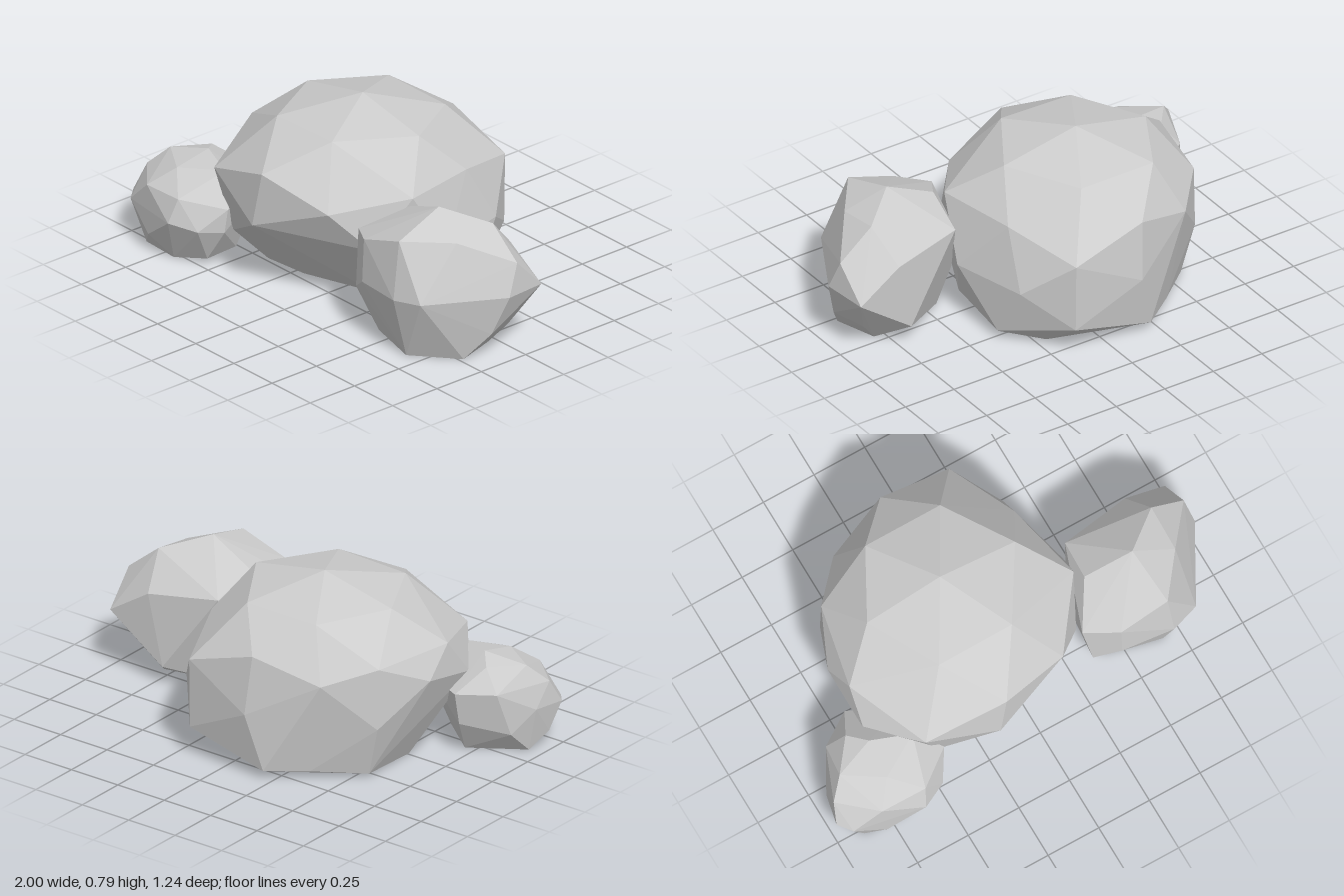
import * as THREE from 'three';
import { ConvexGeometry } from 'three/addons/geometries/ConvexGeometry.js';

const stone = new THREE.MeshStandardMaterial({ color: 0xcccccc, flatShading: true });
stone.name = 'pale stone grey';

// A faceted boulder: the hull around a few corner points, given in layers from crown to foot
function boulder(name, ...layers) {
  const corners = layers.flat().map((p) => new THREE.Vector3(...p));
  const mesh = new THREE.Mesh(new ConvexGeometry(corners), stone);
  mesh.name = name;
  return mesh;
}

export function createModel() {
  const group = new THREE.Group();
  group.name = 'rockCluster';

  group.add(boulder('largeRock',
    // crown
    [[-0.16, 0.79, -0.08], [0.21, 0.72, -0.08], [-0.52, 0.71, -0.08],
      [-0.35, 0.71, 0.24], [0.01, 0.72, 0.24], [-0.35, 0.70, -0.39], [0.02, 0.70, -0.39]],
    // shoulders
    [[-0.16, 0.58, 0.49], [-0.53, 0.46, 0.44], [0.17, 0.48, 0.40], [0.39, 0.55, 0.11],
      [0.31, 0.54, -0.26], [0.18, 0.46, -0.59], [-0.16, 0.57, -0.59],
      [-0.45, 0.47, -0.49], [-0.62, 0.53, -0.30], [-0.70, 0.54, 0.08]],
    // waist
    [[-0.20, 0.33, 0.51], [-0.71, 0.36, 0.22], [-0.72, 0.42, -0.07], [-0.62, 0.25, -0.31],
      [-0.14, 0.30, -0.62], [0.34, 0.28, -0.40], [0.43, 0.28, -0.05], [0.31, 0.32, 0.27],
      [0.18, 0.14, -0.585], [-0.45, 0.18, 0.40]],
    // foot
    [[0.37, 0.04, -0.27], [0.20, 0, -0.39], [-0.21, 0.04, -0.58], [-0.37, 0.04, -0.46],
      [-0.56, 0.02, -0.29], [-0.545, 0, 0.01], [-0.42, 0, 0.23], [-0.21, 0, 0.21],
      [0.12, 0, 0.10], [0.37, 0.09, 0.03], [0.27, 0, -0.05]]));

  group.add(boulder('mediumRock',
    // crown
    [[0.64, 0.63, 0.18], [0.82, 0.57, 0.03], [0.67, 0.555, 0.43], [0.82, 0.54, 0.235],
      [0.42, 0.54, 0.15]],
    // shoulders
    [[0.98, 0.44, 0.03], [0.77, 0.42, -0.11], [0.44, 0.46, -0.05],
      [0.30, 0.45, 0.34], [0.44, 0.48, 0.43]],
    // waist
    [[1.0, 0.30, 0.09], [0.97, 0.29, -0.115], [0.68, 0.29, 0.47], [0.81, 0.30, 0.43],
      [0.44, 0.28, 0.44], [0.33, 0.20, 0.38], [0.36, 0.17, 0.10]],
    // foot
    [[0.88, 0.10, 0], [0.94, 0.12, 0.14], [0.86, 0, 0.23], [0.80, 0, 0.04], [0.67, 0, 0.39],
      [0.41, 0, 0.32], [0.43, 0, 0.11], [0.70, 0.09, -0.10]]));

  group.add(boulder('smallRock',
    // crown
    [[-0.73, 0.43, 0.30], [-0.55, 0.41, 0.36], [-0.91, 0.39, 0.36], [-0.80, 0.40, 0.22],
      [-0.74, 0.39, 0.47]],
    // shoulders
    [[-0.98, 0.31, 0.43], [-0.82, 0.31, 0.57], [-0.61, 0.32, 0.575], [-0.44, 0.29, 0.44],
      [-0.73, 0.30, 0.09], [-0.88, 0.30, 0.19], [-0.50, 0.30, 0.20]],
    // waist
    [[-1.0, 0.20, 0.49], [-0.97, 0.20, 0.35], [-0.95, 0.19, 0.55], [-0.63, 0.21, 0.615],
      [-0.51, 0.19, 0.55], [-0.45, 0.18, 0.45], [-0.73, 0.15, 0.12]],
    // foot
    [[-0.97, 0.07, 0.44], [-0.88, 0, 0.52], [-0.80, 0.085, 0.58], [-0.69, 0, 0.53],
      [-0.54, 0.03, 0.47], [-0.55, 0.03, 0.30], [-0.70, 0, 0.20], [-0.93, 0, 0.35],
      [-0.91, 0.10, 0.25]]));

  return group;
}
